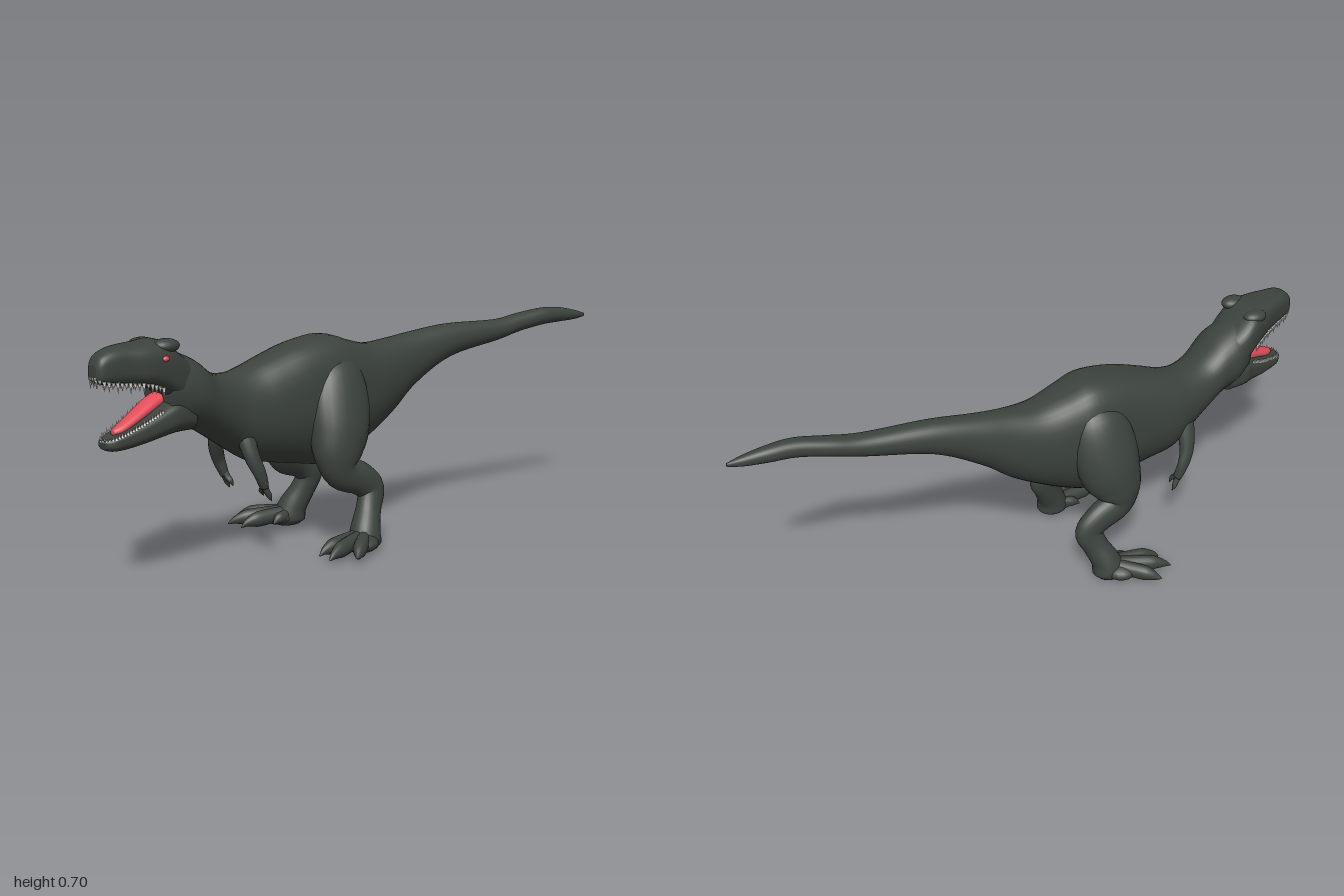
import * as THREE from 'three';

const material = (name, color) => {
  const m = new THREE.MeshStandardMaterial({ color });
  m.name = name;
  return m;
};

// Smoothly resample rows of numbers, keeping the given rows as knots
function resample(rows, steps) {
  const at = (i) => rows[Math.min(Math.max(i, 0), rows.length - 1)];
  const out = [];
  for (let i = 0; i < rows.length - 1; i++) {
    for (let s = 0; s < steps; s++) {
      const t = s / steps;
      out.push(at(i).map((b, k) => {
        const a = at(i - 1)[k], c = at(i + 1)[k], d = at(i + 2)[k];
        return b + 0.5 * t * (c - a + t * (2 * a - 5 * b + 4 * c - d + t * (3 * (b - c) + d - a)));
      }));
    }
  }
  out.push(rows[rows.length - 1].slice());
  return out;
}

// Skin closed rings of points and close both ends
function skin(rings) {
  const n = rings[0].length, pos = [], idx = [];
  rings.forEach((r) => r.forEach((p) => pos.push(p.x, p.y, p.z)));
  for (let i = 0; i < rings.length - 1; i++) {
    for (let j = 0; j < n; j++) {
      const a = i * n + j, b = i * n + (j + 1) % n;
      idx.push(a, b, b + n, a, b + n, a + n);
    }
  }
  [0, rings.length - 1].forEach((i, end) => {
    const c = new THREE.Vector3();
    rings[i].forEach((p) => c.addScaledVector(p, 1 / n));
    const m = pos.length / 3;
    pos.push(c.x, c.y, c.z);
    for (let j = 0; j < n; j++) {
      const a = i * n + j, b = i * n + (j + 1) % n;
      idx.push(...(end ? [m, a, b] : [m, b, a]));
    }
  });
  const g = new THREE.BufferGeometry();
  g.setAttribute('position', new THREE.Float32BufferAttribute(pos, 3));
  g.setIndex(idx);
  g.computeVertexNormals();
  return g;
}

const power = (v, e) => Math.sign(v) * Math.abs(v) ** (2 / e);

// Rows are [z, centre x, top, bottom, half width]; upper(z) and lower set how square each half is
function trunkGeometry(rows, upper, lower, n = 36) {
  return skin(resample(rows, 5).map(([z, x, top, bottom, w]) =>
    Array.from({ length: n }, (_, j) => {
      const a = j / n * Math.PI * 2, c = Math.cos(a), s = Math.sin(a), e = s > 0 ? upper(z) : lower;
      return new THREE.Vector3(x + Math.max(w, 0.002) * power(c, e),
        (top + bottom) / 2 + (top - bottom) / 2 * power(s, e), z);
    })));
}

// Rows are [x, y, z, radius across, radius fore and aft]
function limbGeometry(rows, side = 1, n = 18) {
  const path = resample(rows, 5);
  const points = path.map((r) => new THREE.Vector3(r[0] * side, r[1], r[2]));
  return skin(points.map((p, i) => {
    const t = points[Math.min(i + 1, points.length - 1)].clone().sub(points[Math.max(i - 1, 0)]).normalize();
    const u = new THREE.Vector3(1, 0, 0).addScaledVector(t, -t.x).normalize();
    const v = t.clone().cross(u);
    return Array.from({ length: n }, (_, j) => {
      const a = j / n * Math.PI * 2;
      return p.clone().addScaledVector(u, Math.max(path[i][3], 0.001) * Math.cos(a))
        .addScaledVector(v, Math.max(path[i][4], 0.001) * Math.sin(a));
    });
  }));
}

const BODY = [
  [-1, 0.085, 0.652, 0.64, 0.004], [-0.95, 0.08, 0.666, 0.632, 0.016], [-0.88, 0.073, 0.679, 0.628, 0.025],
  [-0.8, 0.068, 0.682, 0.623, 0.03], [-0.7, 0.05, 0.668, 0.605, 0.034], [-0.6, 0.038, 0.652, 0.58, 0.038],
  [-0.4, 0.012, 0.65, 0.537, 0.048], [-0.25, -0.002, 0.633, 0.455, 0.06], [-0.15, -0.003, 0.62, 0.375, 0.076],
  [-0.05, 0, 0.612, 0.315, 0.1], [0.05, 0.003, 0.635, 0.265, 0.118], [0.13, 0.005, 0.656, 0.242, 0.124],
  [0.25, 0.012, 0.64, 0.26, 0.12], [0.35, 0.012, 0.61, 0.278, 0.114], [0.43, 0.012, 0.582, 0.295, 0.107],
  [0.5, 0.024, 0.57, 0.335, 0.096], [0.58, 0.045, 0.583, 0.385, 0.096], [0.65, 0.062, 0.63, 0.425, 0.102],
  [0.71, 0.068, 0.658, 0.437, 0.1], [0.765, 0.08, 0.68, 0.45, 0.08],
];
const UPPER_JAW = [
  [0.68, 0.065, 0.63, 0.5, 0.08], [0.73, 0.072, 0.668, 0.52, 0.094], [0.78, 0.085, 0.7, 0.553, 0.092],
  [0.84, 0.104, 0.698, 0.577, 0.079], [0.9, 0.118, 0.696, 0.586, 0.06], [0.95, 0.13, 0.69, 0.592, 0.048],
  [0.985, 0.137, 0.674, 0.598, 0.038], [1, 0.14, 0.65, 0.608, 0.022],
];
const LOWER_JAW = [
  [0.68, 0.065, 0.52, 0.43, 0.085], [0.74, 0.073, 0.53, 0.43, 0.092], [0.79, 0.088, 0.512, 0.424, 0.08],
  [0.85, 0.102, 0.485, 0.415, 0.066], [0.91, 0.117, 0.462, 0.409, 0.05], [0.95, 0.126, 0.45, 0.41, 0.039],
  [0.972, 0.131, 0.443, 0.418, 0.022],
];
const TONGUE = [
  [0.75, 0.066, 0.553, 0.51, 0.036], [0.8, 0.082, 0.535, 0.49, 0.037], [0.86, 0.104, 0.505, 0.47, 0.031],
  [0.91, 0.119, 0.48, 0.45, 0.023], [0.938, 0.125, 0.467, 0.45, 0.01],
];
const LEG = [
  [0.045, 0.59, 0.13, 0.03, 0.05], [0.066, 0.54, 0.13, 0.065, 0.09], [0.094, 0.46, 0.14, 0.075, 0.108],
  [0.115, 0.37, 0.155, 0.079, 0.104], [0.134, 0.3, 0.172, 0.064, 0.084], [0.144, 0.245, 0.162, 0.047, 0.06],
  [0.153, 0.215, 0.1, 0.038, 0.052], [0.156, 0.175, 0.06, 0.034, 0.048], [0.168, 0.12, 0.078, 0.037, 0.042],
  [0.186, 0.065, 0.105, 0.046, 0.047], [0.194, 0.025, 0.115, 0.05, 0.054], [0.195, 0.004, 0.115, 0.036, 0.042],
];
const ARM = [
  [0.06, 0.41, 0.475, 0.022, 0.03], [0.076, 0.365, 0.472, 0.024, 0.028], [0.092, 0.32, 0.465, 0.021, 0.024],
  [0.102, 0.28, 0.45, 0.016, 0.021], [0.102, 0.25, 0.438, 0.016, 0.017], [0.1, 0.228, 0.43, 0.015, 0.013],
];
// Tips of toes and fingers
const TOES = [[0.318, 0.022, 0.245], [0.268, 0.016, 0.31], [0.206, 0.014, 0.3], [0.158, 0.02, 0.205]];
const FINGERS = [[0.106, 0.184, 0.408], [0.076, 0.196, 0.416]];

export function createModel() {
  const hide = material('dark hide', 0x3c433d);
  const red = material('red flesh', 0xe34d59);
  const ivory = material('ivory', 0xe6e4dc);
  const model = new THREE.Group();
  model.name = 'dinosaur';

  const add = (name, geometry, mat, parent = model) => {
    const mesh = new THREE.Mesh(geometry, mat);
    mesh.name = name;
    parent.add(mesh);
    return mesh;
  };
  const ellipsoid = (name, mat, [x, y, z], r, parent) => {
    const m = add(name, new THREE.SphereGeometry(1, 20, 14), mat, parent);
    m.position.set(x, y, z);
    m.scale.set(...r);
    return m;
  };

  // Broad-backed over the hips, rounder toward neck and tail
  add('bodyAndTail', trunkGeometry(BODY, (z) => 2.2 + 0.7 * Math.exp(-(((z - 0.16) / 0.2) ** 2)), 2), hide);

  // Head, turned a little to its left
  const head = new THREE.Group();
  head.name = 'head';
  model.add(head);
  add('upperJaw', trunkGeometry(UPPER_JAW, () => 2.9, 3.2), hide, head);
  add('lowerJaw', trunkGeometry(LOWER_JAW, () => 4, 2.4), hide, head);
  add('tongue', trunkGeometry(TONGUE, () => 2.2, 2, 20), red, head);
  [[0.036, 0.679, 0.79], [0.142, 0.684, 0.775]].forEach((p) =>
    ellipsoid('brow', hide, p, [0.031, 0.021, 0.042], head));
  [[0.024, 0.653, 0.815], [0.174, 0.653, 0.796]].forEach((p) =>
    ellipsoid('eye', red, p, [0.011, 0.0085, 0.012], head));

  // Teeth follow the rims of both jaws
  const teeth = (name, rows, direction, length, radius, count) => {
    const fine = resample(rows, 5).filter((r) => r[0] > 0.8);
    const rim = (s) => fine.map(([z, x, top, bottom, w]) =>
      new THREE.Vector3(x + s * w * 0.87, direction < 0 ? bottom + 0.007 : top - 0.005, z - 0.004));
    const curve = new THREE.CatmullRomCurve3([...rim(-1), ...rim(1).reverse()]);
    const group = new THREE.Group();
    group.name = name;
    head.add(group);
    curve.getSpacedPoints(count).forEach((p, i) => {
      const size = length * (0.8 + 0.25 * Math.sin(i * 2.3));
      const tooth = add('tooth', new THREE.ConeGeometry(radius, size, 7), ivory, group);
      tooth.position.copy(p);
      tooth.position.y += direction * size * 0.4;
      if (direction < 0) tooth.rotation.x = Math.PI;
    });
  };
  teeth('upperTeeth', UPPER_JAW, -1, 0.031, 0.0055, 36);
  teeth('lowerTeeth', LOWER_JAW, 1, 0.02, 0.0045, 46);

  for (const side of [-1, 1]) {
    const label = side > 0 ? 'left' : 'right';

    // Leg, foot and clawed toes
    const leg = new THREE.Group();
    leg.name = label + 'Leg';
    leg.position.x = side > 0 ? 0.006 : 0;
    model.add(leg);
    add('thighAndShank', limbGeometry(LEG, side, 26), hide, leg);
    ellipsoid('footPad', hide, [0.212 * side, 0.03, 0.148], [0.06, 0.029, 0.056], leg);
    TOES.forEach(([x, y, z], i) => {
      const r = i === 3 ? 0.016 : 0.022;
      const start = [0.2 - i * 0.008, 0.045, 0.12];
      const mix = (t, height) => [start[0] + (x - start[0]) * t, height, start[2] + (z - start[2]) * t];
      add('toe', limbGeometry([
        [...start, r, r], [...mix(0.4, 0.038), r, r * 1.15], [...mix(0.66, 0.034), r * 0.98, r * 1.15],
        [...mix(0.78, 0.031), r * 0.78, r * 0.92], [...mix(0.9, 0.025), r * 0.45, r * 0.52], [x, y, z, 0.002, 0.002],
      ], side), hide, leg);
    });

    // Small arm with two fingers
    const arm = new THREE.Group();
    arm.name = label + 'Arm';
    arm.position.x = side > 0 ? 0.012 : 0;
    model.add(arm);
    add('forearm', limbGeometry(ARM, side), hide, arm);
    FINGERS.forEach(([x, y, z]) => add('finger', limbGeometry([
      [0.1, 0.245, 0.435, 0.011, 0.011], [(0.1 + x) / 2, 0.222, 0.427, 0.01, 0.01],
      [x, y + 0.016, z + 0.008, 0.008, 0.008], [x, y, z, 0.001, 0.001],
    ], side, 12), hide, arm));
  }
  return model;
}
